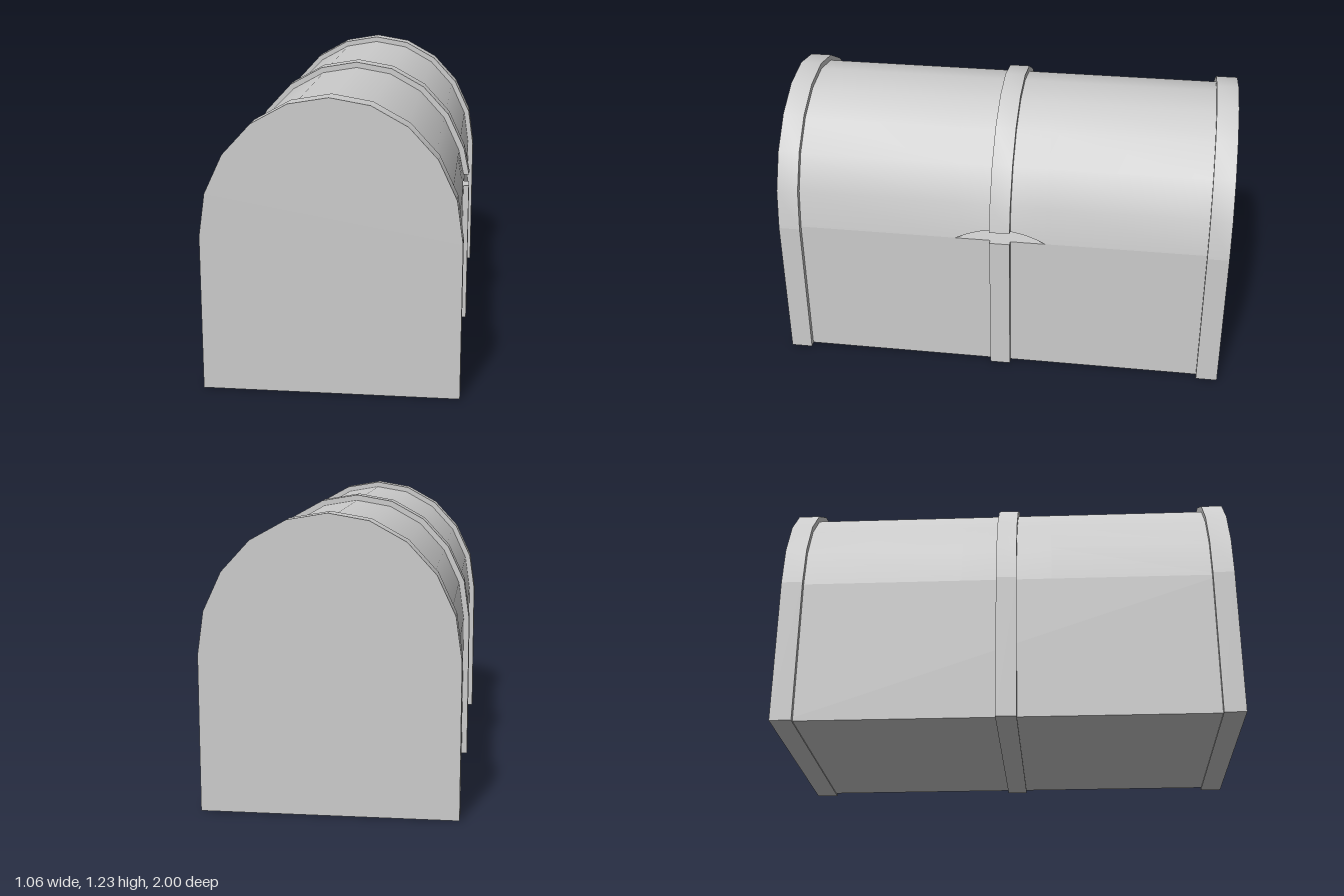
import * as THREE from 'three';
import { toCreasedNormals } from 'three/addons/utils/BufferGeometryUtils.js';

const SEAM = 0.655; // height where the lid meets the box
const SIDES = 10;   // facets around the lid's arch
const LIFT = 0.055; // depth of the hand notch under the lid
const material = new THREE.MeshStandardMaterial({ color: 0xcccccc });

// Solid arched lid, lofted along z; lift(z) raises its +x lower edge
function archGeometry(rx, ry, zs, lift) {
  const n = SIDES + 1, pos = [], index = [];
  for (const z of zs) {
    for (let j = 0; j < n; j++) {
      const a = (j / SIDES) * Math.PI;
      pos.push(rx * Math.cos(a), SEAM + ry * Math.sin(a) + (j === 0 ? lift(z) : 0), z);
    }
  }
  for (let i = 0; i < zs.length - 1; i++) {
    for (let j = 0; j < n; j++) {
      const k = (j + 1) % n;
      const a = i * n + j, b = i * n + k, c = a + n, d = b + n;
      index.push(a, b, d, a, d, c);
    }
  }
  // End caps
  const last = (zs.length - 1) * n;
  for (let j = 1; j < n - 1; j++) {
    index.push(0, j + 1, j, last, last + j, last + j + 1);
  }
  const g = new THREE.BufferGeometry();
  g.setAttribute('position', new THREE.Float32BufferAttribute(pos, 3));
  g.setIndex(index);
  return toCreasedNormals(g, 0.6);
}

export function createModel() {
  const chest = new THREE.Group();
  chest.name = 'chest';

  const add = (name, geometry) => {
    const mesh = new THREE.Mesh(geometry, material);
    mesh.name = name;
    chest.add(mesh);
    return mesh;
  };
  const addBox = (name, halfWidth, y0, z0, z1) =>
    add(name, new THREE.BoxGeometry(halfWidth * 2, SEAM - y0, z1 - z0))
      .position.set(0, (SEAM + y0) / 2, (z0 + z1) / 2);

  // Main box and lid, with a curved hand notch in the lid's +x edge
  const notch = (z) => LIFT * Math.max(0, 1 - (z / 0.2) ** 2);
  addBox('box', 0.505, 0.005, -0.95, 0.95);
  add('lid', archGeometry(0.505, 0.55,
    [-0.95, -0.2, -0.15, -0.1, -0.05, 0, 0.05, 0.1, 0.15, 0.2, 0.95], notch));

  // Raised bands: back, middle and front
  const bands = [
    ['back', -1, -0.905, 0],
    ['middle', -0.045, 0.045, LIFT],
    ['front', 0.905, 1, 0],
  ];
  for (const [name, z0, z1, lift] of bands) {
    addBox(name + 'BoxBand', 0.53, 0, z0, z1);
    add(name + 'LidBand', archGeometry(0.53, 0.575, [z0, z1], () => lift));
  }
  return chest;
}
